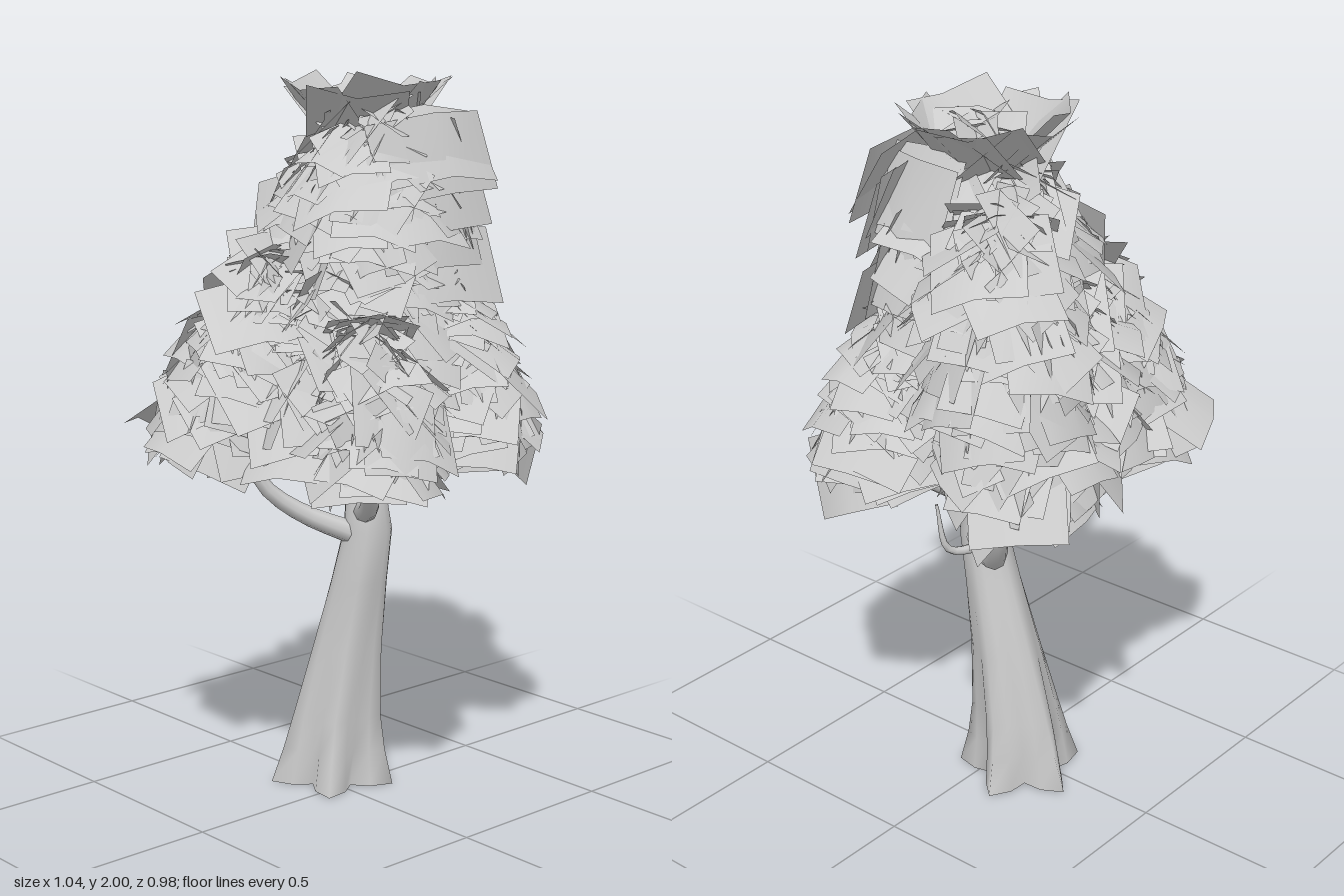
import * as THREE from 'three';
import { mergeGeometries } from 'three/addons/utils/BufferGeometryUtils.js';

const bark = new THREE.MeshStandardMaterial({ color: 0xcccccc, side: THREE.DoubleSide });
const leaf = new THREE.MeshStandardMaterial({ color: 0xcccccc, side: THREE.DoubleSide });

// Small seeded generator; jitter gives a value in -s..s
let seed = 7;
const rand = () => (seed = (seed * 16807) % 2147483647) / 2147483647;
const jitter = (s) => (rand() * 2 - 1) * s;

function part(name, geometry, material) {
  const mesh = new THREE.Mesh(geometry, material);
  mesh.name = name;
  return mesh;
}

// Trunk rings: height, centre x, centre z, radius, depth of the root flutes
const RINGS = [
  [0, 0.041, -0.081, 0.136, 0.33], [0.1, 0.045, -0.077, 0.124, 0.22],
  [0.2, 0.047, -0.067, 0.114, 0.14], [0.4, 0.06, -0.04, 0.094, 0.08],
  [0.6, 0.068, 0, 0.077, 0.04], [0.75, 0.07, 0.033, 0.067, 0.02],
  [0.85, 0.07, 0.025, 0.056, 0], [0.95, 0.07, 0.008, 0.042, 0],
  [1.2, 0.08, 0, 0.03, 0], [1.6, 0.1, 0, 0.008, 0],
];
const SIDES = 20, ROOTS = 5, ROOT_ANGLE = Math.PI * 0.75;

// Trunk with five flared roots, open at the bottom
function trunkGeometry() {
  const pos = [], index = [];
  RINGS.forEach(([y, cx, cz, r, flute], i) => {
    for (let j = 0; j < SIDES; j++) {
      const angle = (j / SIDES) * Math.PI * 2;
      const d = r * (1 + flute * Math.cos(ROOTS * angle));
      pos.push(cx + d * Math.cos(angle + ROOT_ANGLE), y, cz + d * Math.sin(angle + ROOT_ANGLE));
      if (i === RINGS.length - 1) continue;
      const a = i * SIDES + j, b = i * SIDES + (j + 1) % SIDES;
      index.push(a, a + SIDES, b, b, a + SIDES, b + SIDES);
    }
  });
  const g = new THREE.BufferGeometry();
  g.setAttribute('position', new THREE.Float32BufferAttribute(pos, 3));
  g.setIndex(index);
  g.computeVertexNormals();
  return g;
}

// Tube along a curve that narrows towards its end
function branchGeometry(points, radius) {
  const curve = new THREE.CatmullRomCurve3(points.map((p) => new THREE.Vector3(...p)));
  const steps = 12, sides = 8;
  const g = new THREE.TubeGeometry(curve, steps, radius, sides);
  const p = g.attributes.position, v = new THREE.Vector3();
  for (let i = 0; i < p.count; i++) {
    const t = Math.floor(i / (sides + 1)) / steps;
    const c = curve.getPointAt(t);
    v.fromBufferAttribute(p, i).sub(c).multiplyScalar(1 - 0.75 * t).add(c);
    p.setXYZ(i, v.x, v.y, v.z);
  }
  return g;
}

// One bent leaf card, facing along normal
function card(center, normal, width, height, roll) {
  const g = new THREE.PlaneGeometry(width, height, 2, 1);
  const p = g.attributes.position;
  for (let i = 0; i < p.count; i++) p.setZ(i, -Math.abs(p.getX(i)) * 0.25);
  g.computeVertexNormals();
  g.rotateZ(roll);
  const n = normal.clone().normalize();
  const side = new THREE.Vector3(0, 1, 0).cross(n).normalize();
  const up = n.clone().cross(side);
  return g.applyMatrix4(new THREE.Matrix4().makeBasis(side, up, n).setPosition(center));
}

// Dome of drooping cards that leans towards the trunk as it rises
function cluster([cx, cy, cz], [rx, height, rz], count, size) {
  const cards = [];
  for (let i = 0; i < count; i++) {
    const t = (i + 0.5) / count;
    const a = i * 2.39996 + jitter(0.3);
    const belly = Math.min(1, 0.75 + t);
    const r = belly * Math.sqrt(1 - t ** 2.2) * (1.1 - 0.45 * rand() ** 2);
    const lean = 0.35 * t;
    const center = new THREE.Vector3(
      THREE.MathUtils.lerp(cx, 0.09, lean) + rx * r * Math.cos(a),
      cy + height * t + jitter(0.03),
      THREE.MathUtils.lerp(cz, 0, lean) + rz * r * Math.sin(a));
    const normal = new THREE.Vector3(
      Math.cos(a) + jitter(0.35), 0.55 + t * 0.7 + jitter(0.4), Math.sin(a) + jitter(0.35));
    cards.push(card(center, normal, size * (1 + jitter(0.2)), size * (0.95 + jitter(0.2)), jitter(0.45)));
  }
  return mergeGeometries(cards);
}

// Broad cards spreading out like a shallow bowl on the tree top
function rimGeometry() {
  const cards = [];
  for (let i = 0; i < 9; i++) {
    const a = i * 2.39996;
    const center = new THREE.Vector3(0.11 + 0.13 * Math.cos(a), 1.865 + jitter(0.015), 0.11 * Math.sin(a) - 0.03);
    const normal = new THREE.Vector3(Math.cos(a), -1.1 + jitter(0.3), Math.sin(a));
    cards.push(card(center, normal, 0.27, 0.25, jitter(0.15)));
  }
  return mergeGeometries(cards);
}

// Stack of wide overlapping cards down one face of the top
function stackGeometry([x, y, z], [nx, nz], count, width) {
  const cards = [];
  for (let i = 0; i < count; i++) {
    const inset = 0.025 * (i % 3);
    const center = new THREE.Vector3(x - nx * inset + jitter(0.02), y + i * 0.032, z - nz * inset);
    const normal = new THREE.Vector3(nx + jitter(0.15), 0.4 + jitter(0.2), nz + jitter(0.15));
    cards.push(card(center, normal, width * (1 + jitter(0.1)), 0.22, jitter(0.1)));
  }
  return mergeGeometries(cards);
}

export function createModel() {
  const tree = new THREE.Group();
  tree.name = 'tree';
  tree.add(part('trunk', trunkGeometry(), bark));

  const branches = {
    backRightBranch: [0.034, [[0.05, 0.73, 0.03], [-0.1, 0.81, -0.07], [-0.19, 0.9, -0.12], [-0.25, 1.15, -0.17]]],
    frontBranch: [0.034, [[0.05, 0.8, 0.04], [-0.04, 0.86, 0.16], [-0.09, 0.96, 0.21], [-0.13, 1.12, 0.26]]],
    backLeftBranch: [0.038, [[0.08, 0.7, 0.02], [0.18, 0.75, -0.1], [0.26, 0.92, -0.18], [0.31, 1.4, -0.23]]],
    frontLeftBranch: [0.034, [[0.08, 0.85, 0.03], [0.18, 0.91, 0.09], [0.27, 0.98, 0.16], [0.3, 1.15, 0.19]]],
    twig: [0.016, [[0.22, 0.83, -0.11], [0.29, 0.82, -0.1], [0.35, 0.84, -0.08], [0.37, 0.97, -0.06]]],
  };
  for (const [name, [radius, points]] of Object.entries(branches))
    tree.add(part(name, branchGeometry(points, radius), bark));

  // Leaf masses: base centre, radii and height, number of cards, card size
  const masses = {
    backRightLeaves: [[-0.28, 1.05, -0.16], [0.17, 0.43, 0.19], 130, 0.23],
    frontRightLeaves: [[-0.14, 1.02, 0.28], [0.13, 0.3, 0.15], 90, 0.22],
    frontLeftLeaves: [[0.31, 1.03, 0.2], [0.15, 0.4, 0.15], 110, 0.21],
    backLeftLeaves: [[0.31, 1.27, -0.24], [0.16, 0.48, 0.19], 130, 0.22],
    lowBackLeaves: [[0.24, 1.04, -0.27], [0.19, 0.32, 0.16], 80, 0.22],
    middleBackLeaves: [[-0.04, 1.12, -0.24], [0.13, 0.38, 0.13], 60, 0.22],
    rightFillLeaves: [[-0.2, 1.05, 0.07], [0.13, 0.35, 0.15], 60, 0.22],
    middleLeaves: [[0.09, 1.2, 0], [0.26, 0.38, 0.24], 110, 0.24],
    upperBackLeaves: [[0.09, 1.52, -0.14], [0.18, 0.28, 0.13], 60, 0.22],
    topLeaves: [[0.08, 1.48, 0.04], [0.21, 0.4, 0.17], 110, 0.24],
  };
  for (const [name, args] of Object.entries(masses))
    tree.add(part(name, cluster(...args), leaf));
  tree.add(
    part('topFrontLeaves', stackGeometry([0.16, 1.5, 0.22], [0, 1], 11, 0.38), leaf),
    part('topSideLeaves', stackGeometry([0.31, 1.47, 0.07], [1, 0], 11, 0.25), leaf),
    part('topRimLeaves', rimGeometry(), leaf));

  return tree;
}
